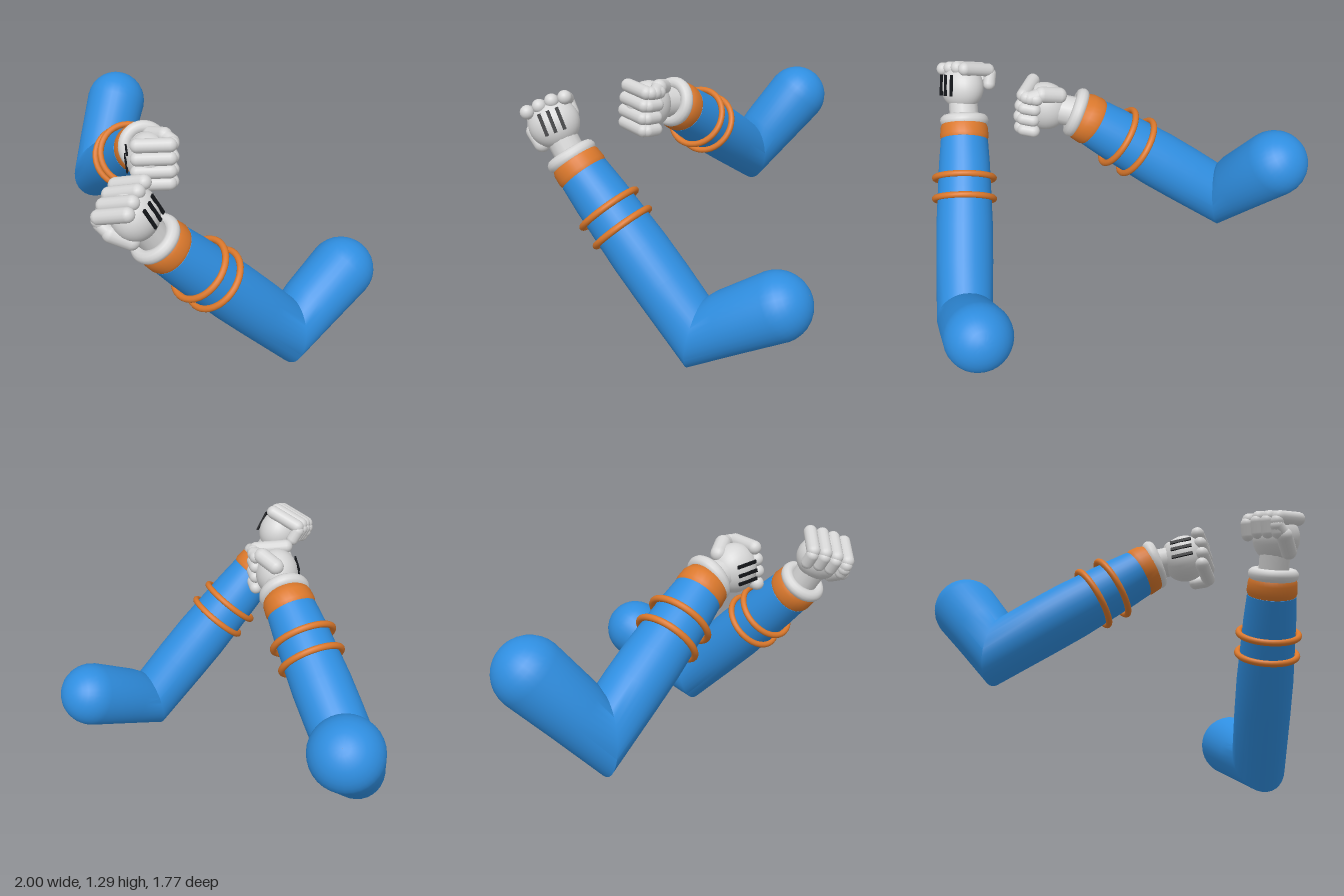
import * as THREE from 'three';
import { toCreasedNormals } from 'three/addons/utils/BufferGeometryUtils.js';

const mat = (name, color) => {
  const m = new THREE.MeshStandardMaterial({ color });
  m.name = name;
  return m;
};
const V = (x, y, z) => new THREE.Vector3(x, y, z);
const UP = V(0, 1, 0);

export function createModel() {
  const blue = mat('sleeve blue', 0x2f8ee0);
  const orange = mat('trim orange', 0xda782c);
  const white = mat('glove white', 0xd6d6d6);
  const black = mat('stripe black', 0x14161a);

  const add = (parent, name, geo, material, pos, dir) => {
    const mesh = new THREE.Mesh(geo, material);
    mesh.name = name;
    if (pos) mesh.position.copy(pos);
    if (dir) mesh.quaternion.setFromUnitVectors(UP, dir);
    parent.add(mesh);
    return mesh;
  };
  const capsule = (parent, name, a, b, r, material = white) =>
    add(parent, name, new THREE.CapsuleGeometry(r, a.distanceTo(b), 6, 14), material,
      a.clone().lerp(b, 0.5), b.clone().sub(a).normalize());
  // ring lying flat around +y
  const ring = (r, tube) => new THREE.TorusGeometry(r, tube, 12, 36).rotateX(Math.PI / 2);

  // Bent sleeve: rounded shoulder, mitred elbow, tapering forearm
  function sleeveGeometry(shoulder, elbow, u, v, length) {
    const N = 32, pos = [], index = [];
    const b = u.clone().cross(v).normalize();
    const rings = [];
    for (let i = 0; i <= 8; i++) {
      const a = (i / 8) * Math.PI / 2;
      rings.push([shoulder.clone().addScaledVector(u, -0.175 * Math.cos(a)), u, Math.max(0.0005, 0.175 * Math.sin(a)), 1]);
    }
    const upper = shoulder.distanceTo(elbow);
    rings.push([shoulder.clone().addScaledVector(u, upper * 0.6), u, 0.162, 1]);
    const mid = u.clone().add(v).normalize();
    rings.push([elbow, mid, 0.15, 1 / mid.dot(v)]);
    for (const [t, r] of [[0.3, 0.154], [0.5, 0.154], [0.7, 0.146], [0.85, 0.14], [0.99, 0.13], [1, 0.115], [1, 0.0005]])
      rings.push([elbow.clone().addScaledVector(v, length * t), v, r, 1]);
    rings.forEach(([p, d, r, stretch], i) => {
      const w = d.clone().cross(b);
      for (let j = 0; j < N; j++) {
        const a = (j / N) * Math.PI * 2;
        const q = p.clone().addScaledVector(b, r * Math.cos(a)).addScaledVector(w, r * stretch * Math.sin(a));
        pos.push(q.x, q.y, q.z);
        if (i < rings.length - 1) {
          const k = i * N + j, n = i * N + (j + 1) % N;
          index.push(k, n, k + N, n, n + N, k + N);
        }
      }
    });
    const g = new THREE.BufferGeometry();
    g.setAttribute('position', new THREE.Float32BufferAttribute(pos, 3));
    g.setIndex(index);
    return toCreasedNormals(g, 0.7);
  }

  // Closed fist: x = thumb side, y = towards knuckles, z = back of hand
  function fist() {
    const hand = new THREE.Group();
    hand.name = 'fist';
    add(hand, 'palm', new THREE.SphereGeometry(1, 32, 20), white).scale.set(0.13, 0.125, 0.112);
    for (let i = 0; i < 4; i++) {
      const x = (i - 1.5) * 0.066;
      const f = 0.106 - Math.abs(i - 1.3) * 0.007;
      capsule(hand, 'fingerBase', V(x, f, 0.06), V(x, f, -0.1), 0.036);
      capsule(hand, 'fingerTip', V(x, f - 0.02, -0.115), V(x, f - 0.075, -0.11), 0.034);
    }
    capsule(hand, 'thumbBase', V(0.095, -0.075, -0.02), V(0.115, 0.0, -0.08), 0.042);
    capsule(hand, 'thumbTip', V(0.115, 0.0, -0.08), V(0.1, 0.05, -0.115), 0.036);
    for (const x of [-0.046, 0, 0.046])
      add(hand, 'gloveStripe', new THREE.BoxGeometry(0.017, 0.115, 0.009), black, V(x, 0.005, 0.113 - Math.abs(x) * 0.12));
    return hand;
  }

  function arm(name, { shoulder, elbow, wrist, palm, forward, back, bands }) {
    const g = new THREE.Group();
    g.name = name;
    const u = elbow.clone().sub(shoulder).normalize();
    const v = wrist.clone().sub(elbow).normalize();
    const length = elbow.distanceTo(wrist);
    add(g, 'sleeve', sleeveGeometry(shoulder, elbow, u, v, length - 0.1), blue);

    // Paired forearm bands
    for (const d of bands)
      add(g, 'forearmBand', ring(0.161, 0.017), orange, elbow.clone().addScaledVector(v, d), v);

    // Bulging cuff and padded wrist ring
    const cuff = [[0.1, -0.145], [0.123, -0.13], [0.134, -0.09], [0.13, -0.04], [0.112, 0], [0.07, 0.02]];
    add(g, 'cuff', new THREE.LatheGeometry(cuff.map(([r, y]) => new THREE.Vector2(r, y)), 32), orange, wrist, v);
    const handDir = palm.clone().sub(wrist).normalize();
    add(g, 'wristRing', ring(0.1, 0.034), white, wrist, v.clone().add(handDir).normalize());
    capsule(g, 'wrist', wrist, palm, 0.08);

    // Fist oriented by its knuckle and back-of-hand directions
    const f = forward.clone().normalize();
    const n = back.clone().addScaledVector(f, -back.dot(f)).normalize();
    const s = f.clone().cross(n);
    const hand = fist();
    // thumb side is n x f, so both hands use the frame turned to stay right-handed
    hand.children.forEach((m) => {
      m.position.x *= -1;
      if (m.name.startsWith('thumb')) {
        m.quaternion.y *= -1;
        m.quaternion.z *= -1;
      }
    });
    hand.quaternion.setFromRotationMatrix(new THREE.Matrix4().makeBasis(s, f, n));
    hand.position.copy(palm);
    g.add(hand);
    return g;
  }

  const model = new THREE.Group();
  model.name = 'armsWithGloves';
  model.add(arm('rightArm', {
    shoulder: V(-0.825, 0.935, -0.72), elbow: V(-0.775, 0.6, -0.42), wrist: V(-0.163, 1.13, 0.1),
    palm: V(-0.06, 1.15, 0.235), forward: V(0.55, 0.1, 0.83), back: V(-0.83, 0.02, 0.55), bands: [0.57, 0.69],
  }));
  model.add(arm('leftArm', {
    shoulder: V(0.825, 0.425, -0.315), elbow: V(0.67, 0.205, 0.045), wrist: V(0.195, 0.975, 0.635),
    palm: V(0.14, 1.135, 0.715), forward: V(-0.33, 0.88, 0.33), back: V(0.93, 0.34, 0.02), bands: [0.64, 0.755],
  }));
  return model;
}
